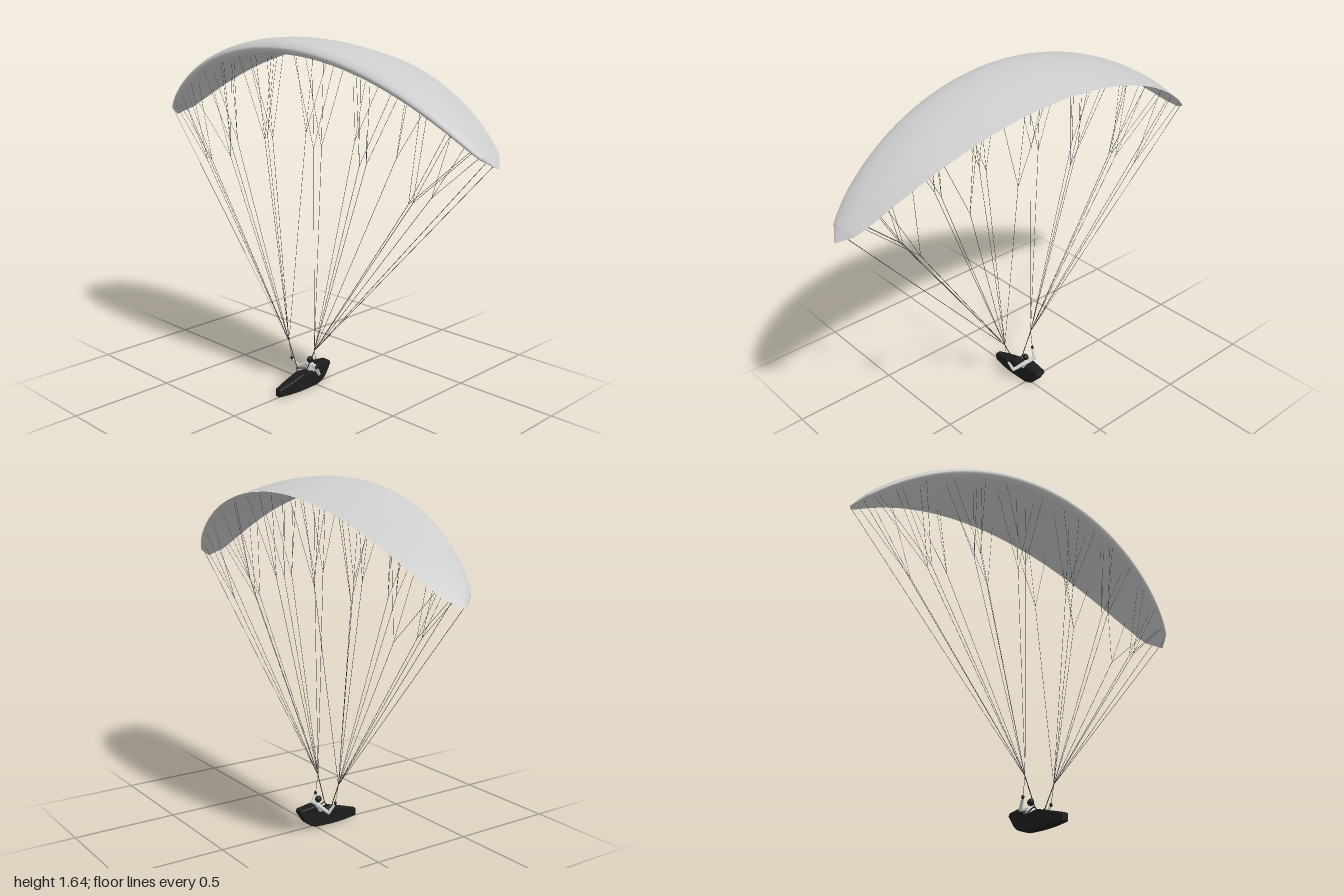
import * as THREE from 'three';
import { mergeGeometries } from 'three/addons/utils/BufferGeometryUtils.js';

const V = (x, y, z) => new THREE.Vector3(x, y, z);
const fabric = new THREE.MeshStandardMaterial({ color: 0xcccccc });
const black = new THREE.MeshStandardMaterial({ color: 0x1c1c1c });
const cord = new THREE.MeshStandardMaterial({ color: 0x333333 });

function add(parent, name, geometry, material = fabric) {
  const mesh = new THREE.Mesh(geometry, material);
  mesh.name = name;
  parent.add(mesh);
  return mesh;
}

// Straight round bar between two points
function bar(a, b, r0, r1 = r0, sides = 5) {
  const dir = b.clone().sub(a);
  const g = new THREE.CylinderGeometry(r1, r0, dir.length(), sides);
  g.applyQuaternion(new THREE.Quaternion().setFromUnitVectors(V(0, 1, 0), dir.normalize()));
  const m = a.clone().add(b).multiplyScalar(0.5);
  return g.translate(m.x, m.y, m.z);
}

// Point on the wing: span position x, chord fraction c, height h above the chord
const R = 1.425;
function wingPoint(x, c, h) {
  const s = Math.sqrt(Math.max(0, 1 - x * x));
  const rise = Math.sqrt(R * R - x * x);
  return V(x + (x / R) * h * s, 1.61 - R + rise + (rise / R) * h * s, s * (0.22 - 0.455 * c));
}

// Arched elliptical wing lofted from one aerofoil section
function canopyGeometry() {
  const section = new THREE.CatmullRomCurve3([
    [1, -0.02], [0.8, 0.004], [0.55, 0.03], [0.32, 0.04], [0.12, 0.034], [0.03, 0.018], [0, 0],
    [0.03, -0.018], [0.12, -0.028], [0.35, -0.03], [0.65, -0.027], [1, -0.021],
  ].map(([c, h]) => V(c, h, 0))).getPoints(44);
  const xs = [-1];
  for (let i = 0; i <= 56; i++) xs.push(0.955 * Math.sin((i / 56 - 0.5) * Math.PI));
  xs.push(1);
  const pos = [], index = [], n = section.length;
  xs.forEach((x, i) => section.forEach((p, j) => {
    pos.push(...wingPoint(x, p.x, p.y).toArray());
    if (i < xs.length - 1 && j < n - 1) {
      const a = i * n + j;
      index.push(a, a + 1, a + n, a + 1, a + n + 1, a + n);
    }
  }));
  const g = new THREE.BufferGeometry();
  g.setAttribute('position', new THREE.Float32BufferAttribute(pos, 3));
  g.setIndex(index);
  g.computeVertexNormals();
  return g;
}

// Branching suspension lines of one side
function lineGeometry(side) {
  const r = 0.0011, parts = [];
  const riser = V(side * 0.085, 0.22, 0.08);
  const fans = [
    { spans: [0.07, 0.18, 0.3], x: 0.155, y: 1.19 },
    { spans: [0.42, 0.44, 0.59], x: 0.41, y: 1.15 },
    { spans: [0.72, 0.83, 0.92], x: 0.64, y: 1.02 },
  ];
  for (const [c, h] of [[0.07, -0.022], [0.22, -0.028], [0.88, -0.024]]) {
    for (const fan of fans) {
      const ends = fan.spans.map((x) => wingPoint(side * x, c, h));
      const t = (fan.y - riser.y) / (ends[1].y - riser.y);
      const node = V(side * fan.x, fan.y, THREE.MathUtils.lerp(riser.z, ends[1].z, t));
      parts.push(bar(riser, node, r, r, 4));
      ends.forEach((e) => parts.push(bar(node, e, r * 0.8, r * 0.8, 4)));
    }
    if (c !== 0.22) parts.push(bar(riser, wingPoint(side * 0.97, c, h), r, r, 4));
  }
  return mergeGeometries(parts);
}

// Pod harness: side profile extruded across, narrowing toward the foot end
function podGeometry() {
  const shape = new THREE.Shape();
  shape.moveTo(0.229, 0.018);
  shape.quadraticCurveTo(0.12, 0.007, 0.0, 0.015);
  shape.quadraticCurveTo(-0.045, 0.024, -0.062, 0.056);
  shape.lineTo(-0.086, 0.092);
  shape.lineTo(-0.082, 0.1);
  shape.lineTo(-0.01, 0.11);
  shape.lineTo(0.01, 0.075);
  shape.lineTo(0.09, 0.082);
  shape.quadraticCurveTo(0.16, 0.062, 0.229, 0.042);
  const g = new THREE.ExtrudeGeometry(shape, {
    depth: 0.042, bevelThickness: 0.007, bevelSize: 0.006, bevelSegments: 3, curveSegments: 10,
  });
  g.translate(0, 0, -0.021).rotateY(-Math.PI / 2);
  const p = g.attributes.position;
  for (let i = 0; i < p.count; i++) {
    const z = p.getZ(i);
    const ends = Math.max(0, (z - 0.08) / 0.155, (-0.01 - z) / 0.16);
    p.setX(i, p.getX(i) * (1 - 0.45 * ends * ends));
  }
  g.computeVertexNormals();
  return g;
}

export function createModel() {
  const model = new THREE.Group();
  model.name = 'paraglider';
  add(model, 'canopy', canopyGeometry());

  const pilot = new THREE.Group();
  pilot.name = 'pilot';
  model.add(pilot);
  add(pilot, 'podHarness', podGeometry(), black);

  // Reclined torso, neck and helmet
  const torso = add(pilot, 'torso', new THREE.CapsuleGeometry(0.018, 0.03, 6, 16));
  torso.scale.set(1.35, 1, 0.8);
  torso.rotation.x = -0.3;
  torso.position.set(0, 0.088, 0.022);
  add(pilot, 'neck', bar(V(0, 0.11, 0.018), V(0, 0.128, 0.022), 0.007, 0.007, 10));
  const helmet = add(pilot, 'helmet', new THREE.SphereGeometry(0.015, 20, 14), black);
  helmet.scale.set(0.9, 1.1, 1.1);
  helmet.position.set(0, 0.135, 0.024);

  for (const side of [1, -1]) {
    const label = side > 0 ? 'left' : 'right';
    add(model, label + 'Lines', lineGeometry(side), cord);

    // Bent arm raised to the controls
    const shoulder = V(side * 0.024, 0.106, 0.018);
    const elbow = V(side * 0.07, 0.086, 0.035);
    const wrist = V(side * 0.081, 0.124, 0.06);
    const joint = (p, r) => new THREE.SphereGeometry(r, 12, 8).translate(p.x, p.y, p.z);
    add(pilot, label + 'Arm', mergeGeometries([
      joint(shoulder, 0.011), bar(shoulder, elbow, 0.01, 0.008, 12),
      joint(elbow, 0.008), bar(elbow, wrist, 0.008, 0.006, 12),
    ]));
    const glove = add(pilot, label + 'Glove', new THREE.SphereGeometry(0.007, 12, 8), black);
    glove.scale.y = 1.4;
    glove.position.set(side * 0.083, 0.132, 0.064);

    // Riser webbing and brake cord
    const top = V(side * 0.085, 0.22, 0.08);
    const hook = V(side * 0.03, 0.1, 0.08);
    add(model, label + 'Riser', mergeGeometries([
      bar(hook, top, 0.002), bar(V(side * 0.024, 0.078, 0.09), hook, 0.003),
      bar(V(side * 0.024, 0.085, 0.03), hook, 0.003),
    ]), black);
    add(model, label + 'BrakeCord', bar(glove.position, top, 0.001), cord);
  }
  return model;
}
